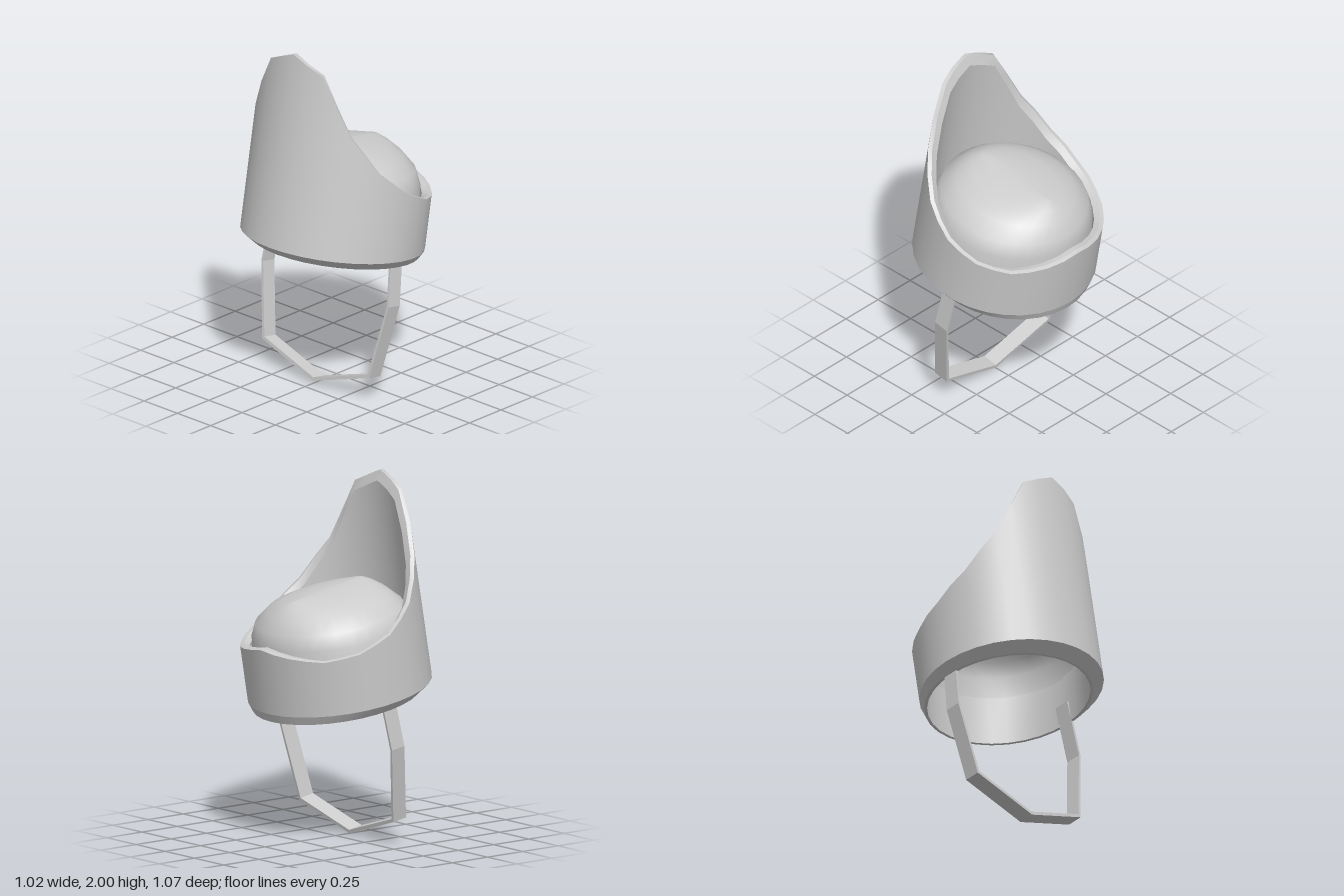
import * as THREE from 'three';

const SEG = 32;
const CENTRE = 0.03; // forward offset of the wall from the bottom opening

// rim height every 22.5 degrees from front to back
const RIM = [1.154, 1.075, 0.753, 0.55, 0.43, 0.37, 0.355, 0.385, 0.42];
function rimHeight(t) {
  const a = Math.abs(Math.atan2(Math.sin(t), Math.cos(t))) / (Math.PI / 8);
  const i = Math.min(Math.floor(a), RIM.length - 2);
  return THREE.MathUtils.lerp(RIM[i], RIM[i + 1], a - i);
}

// ring with half width a, half depth b, centre z and a height (number or rule)
function ring(a, b, cz, height) {
  return (t) => [
    a * Math.sin(t),
    typeof height === 'function' ? height(t) : height,
    cz + b * Math.cos(t),
  ];
}

// smooth skin through closed rings
function loft(rings) {
  const pos = [], index = [];
  rings.forEach((r, i) => {
    for (let j = 0; j < SEG; j++) {
      pos.push(...r((j / SEG) * Math.PI * 2));
      if (i === rings.length - 1) continue;
      const k = (j + 1) % SEG;
      const p = i * SEG + j, q = i * SEG + k;
      index.push(p, q, q + SEG, p, q + SEG, p + SEG);
    }
  });
  const g = new THREE.BufferGeometry();
  g.setAttribute('position', new THREE.Float32BufferAttribute(pos, 3));
  g.setIndex(index);
  g.computeVertexNormals();
  return g;
}

export function createModel() {
  const model = new THREE.Group();
  model.name = 'hat';
  const grey = new THREE.MeshStandardMaterial({ color: 0xcccccc, side: THREE.DoubleSide });
  grey.name = 'light grey';

  // everything leans back by ten degrees around the bottom opening
  const hat = new THREE.Group();
  hat.name = 'tiltedHat';
  hat.position.set(0, 0.77, 0.01);
  hat.rotation.x = -THREE.MathUtils.degToRad(10);
  model.add(hat);

  const add = (name, geometry) => {
    const mesh = new THREE.Mesh(geometry, grey);
    mesh.name = name;
    hat.add(mesh);
  };

  // wall profile, outside bottom to top, over the rim and down the inside
  const base = ring(0.51, 0.508, CENTRE, 0.048);
  const outerRim = ring(0.51, 0.508, CENTRE, rimHeight);
  const midRim = ring(0.487, 0.485, CENTRE, (t) => rimHeight(t) + 0.004);
  const innerRim = ring(0.455, 0.455, CENTRE, (t) => rimHeight(t) - 0.025 * (1 + Math.cos(t)));
  const innerBottom = ring(0.447, 0.452, 0, 0);
  const outerBottom = ring(0.465, 0.467, 0, 0);

  add('outerWall', loft([base, outerRim]));
  add('rimBevel', loft([outerRim, midRim]));
  add('rimTop', loft([midRim, innerRim]));
  add('innerWall', loft([innerRim, innerBottom]));
  add('bottomLip', loft([innerBottom, outerBottom]));
  add('bottomChamfer', loft([outerBottom, base]));

  // rounded crown with a narrow flat ridge
  const crown = [
    [0.453, 0.453, 0.28], [0.44, 0.44, 0.4], [0.4, 0.415, 0.48], [0.31, 0.35, 0.55],
    [0.2, 0.3, 0.59], [0.07, 0.255, 0.613], [0, 0.2, 0.615],
  ];
  add('crown', loft(crown.map(([a, b, y]) => ring(a, b, CENTRE, y))));

  // angular chin strap, mirrored left to right
  const mirrored = (half) => [
    ...half.map(([x, y]) => new THREE.Vector2(-x, y)),
    ...half.slice(0, -1).reverse().map(([x, y]) => new THREE.Vector2(x, y)),
  ];
  const outer = mirrored([[0.447, 0.12], [0.479, -0.22], [0.403, -0.645], [0, -0.773]]);
  const inner = mirrored([[0.433, 0.12], [0.465, -0.22], [0.388, -0.63], [0, -0.753]]);
  const strap = new THREE.ExtrudeGeometry(new THREE.Shape([...outer, ...inner.reverse()]), {
    depth: 0.09,
    bevelEnabled: false,
  });
  strap.translate(0, 0, -0.045);
  add('chinStrap', strap);

  return model;
}
